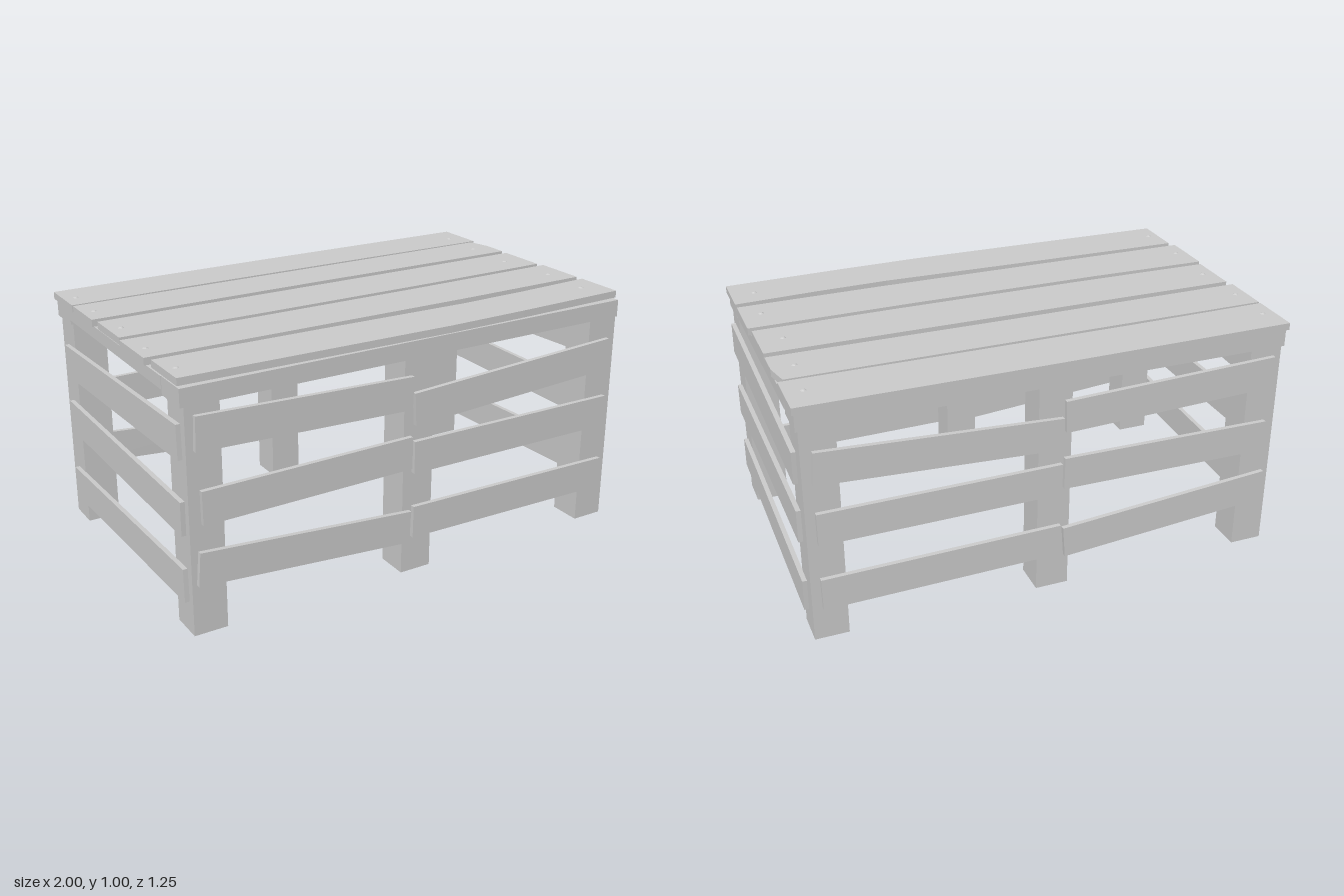
import * as THREE from 'three';

const material = new THREE.MeshStandardMaterial({ color: 0xcccccc, flatShading: true });

export function createModel() {
  const model = new THREE.Group();
  model.name = 'slattedTable';

  const add = (name, geometry, parent = model) => {
    const mesh = new THREE.Mesh(geometry, material);
    mesh.name = name;
    parent.add(mesh);
    return mesh;
  };

  // Box given by its lower and upper limits on each axis
  const block = (name, [x0, x1], [y0, y1], [z0, z1]) =>
    add(name, new THREE.BoxGeometry(x1 - x0, y1 - y0, z1 - z0))
      .position.set((x0 + x1) / 2, (y0 + y1) / 2, (z0 + z1) / 2);

  // Six legs and the two long rails they carry
  for (const side of [1, -1]) {
    const span = (a, b) => (side > 0 ? [a, b] : [-b, -a]);
    for (const x of [-0.908, -0.003, 0.908])
      block('leg', [x - 0.068, x + 0.068], [0, 0.9], span(0.469, 0.605));
    block('longRail', [-0.99, 0.985], [0.9, 0.971], span(0.457, 0.605));
  }

  // Cross boards under the deck
  for (const x of [-0.917, -0.645, -0.203, 0.368, 0.912])
    block('crossBoard', [x - 0.075, x + 0.075], [0.92, 0.971], [-0.457, 0.457]);

  // Deck planks: slightly uneven outlines as [x, z], with nail positions
  const planks = [
    { outline: [[-1, -0.612], [0, -0.617], [0.993, -0.612], [0.993, -0.395], [0.4, -0.4], [-0.4, -0.402], [-1, -0.395]],
      nails: [[-0.95, -0.49], [0.92, -0.49]] },
    { outline: [[-1, -0.383], [0.97, -0.383], [0.993, -0.285], [0.993, -0.176], [0, -0.18], [-1, -0.176]],
      nails: [[-0.953, -0.277], [0.903, -0.277]] },
    { outline: [[-0.99, -0.142], [-0.4, -0.14], [0.4, -0.14], [0.99, -0.142], [0.99, 0.078], [0.4, 0.086], [-0.4, 0.086], [-0.99, 0.078]],
      nails: [[-0.94, -0.028], [0.89, -0.028]] },
    { outline: [[-1, 0.107], [-0.5, 0.117], [0.3, 0.117], [1, 0.107], [1, 0.33], [0.4, 0.338], [-0.4, 0.336], [-1, 0.332]],
      nails: [[-0.953, 0.237], [0.92, 0.237]] },
    { outline: [[-0.985, 0.363], [-0.3, 0.375], [0.35, 0.39], [0.65, 0.382], [1, 0.363], [1, 0.573], [0.5, 0.59], [0.15, 0.597], [-0.3, 0.59], [-0.985, 0.578]],
      nails: [[-0.943, 0.482], [0.903, 0.463]] },
  ];
  for (const { outline, nails } of planks) {
    const shape = new THREE.Shape(outline.map(([x, z]) => new THREE.Vector2(x, -z)));
    const geometry = new THREE.ExtrudeGeometry(shape, { depth: 0.029, bevelEnabled: false });
    geometry.rotateX(-Math.PI / 2);
    add('deckPlank', geometry).position.y = 0.971;
    for (const [x, z] of nails)
      add('nailHead', new THREE.CylinderGeometry(0.005, 0.012, 0.004, 8)).position.set(x, 1.002, z);
  }

  // Tilted slat in the xy plane between two centre-line points
  const slat = (name, parent, u0, v0, u1, v1) => {
    const mesh = add(name, new THREE.BoxGeometry(Math.hypot(u1 - u0, v1 - v0), 0.134, 0.019), parent);
    mesh.position.set((u0 + u1) / 2, (v0 + v1) / 2, 0);
    mesh.rotation.z = Math.atan2(v1 - v0, u1 - u0);
  };

  // Front and back slats share the same layout
  for (const z of [0.614, -0.614]) {
    const panel = new THREE.Group();
    panel.name = z > 0 ? 'frontSlats' : 'backSlats';
    panel.position.z = z;
    model.add(panel);
    for (const s of [
      [-0.945, 0.8, -0.042, 0.77], [-0.93, 0.513, -0.04, 0.523], [-0.952, 0.275, -0.045, 0.205],
      [-0.03, 0.7, 0.937, 0.75], [-0.03, 0.5, 0.938, 0.495], [-0.03, 0.222, 0.938, 0.208],
    ]) slat('longSideSlat', panel, ...s);
  }

  // End slats, drooping towards the back on both ends
  for (const x of [0.985, -0.985]) {
    const panel = new THREE.Group();
    panel.name = x > 0 ? 'leftEndSlats' : 'rightEndSlats';
    panel.position.x = x;
    panel.rotation.y = Math.PI / 2;
    model.add(panel);
    for (const s of [
      [-0.573, 0.762, 0.541, 0.722], [-0.575, 0.467, 0.54, 0.474], [-0.573, 0.198, 0.541, 0.165],
    ]) slat('endSlat', panel, ...s);
  }

  return model;
}
